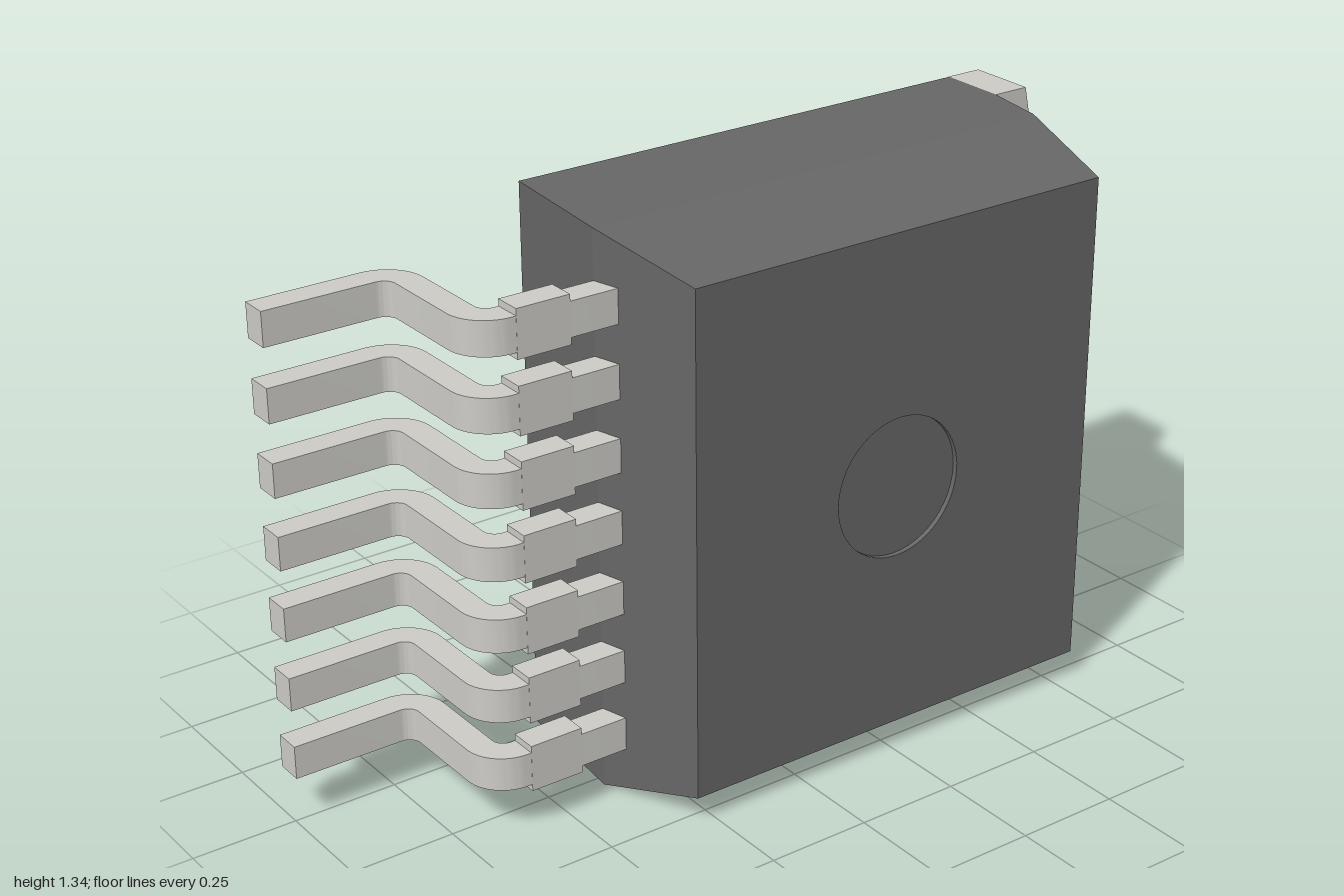
import * as THREE from 'three';
import { toCreasedNormals } from 'three/addons/utils/BufferGeometryUtils.js';

const plastic = new THREE.MeshStandardMaterial({ color: 0x666666 });
const plasticInner = new THREE.MeshStandardMaterial({ color: 0x666666, side: THREE.DoubleSide });
const metal = new THREE.MeshStandardMaterial({ color: 0xcccbc6 });

function part(name, geometry, material, parent) {
  const mesh = new THREE.Mesh(geometry, material);
  mesh.name = name;
  parent.add(mesh);
  return mesh;
}

// Rectangular sections [x0, x1, y0, y1, z] from back to front, joined by flat sides; front left open
function bodyGeometry(sections) {
  const rings = sections.map(([x0, x1, y0, y1, z]) => [[x0, y0, z], [x1, y0, z], [x1, y1, z], [x0, y1, z]]);
  const pos = [];
  const quad = (a, b, c, d) => pos.push(...a, ...b, ...c, ...a, ...c, ...d);
  for (let k = 0; k + 1 < rings.length; k++) {
    const a = rings[k], b = rings[k + 1];
    for (let i = 0; i < 4; i++) {
      const j = (i + 1) % 4;
      quad(a[i], a[j], b[j], b[i]);
    }
  }
  const [p, q, r, s] = rings[0];
  quad(p, s, r, q);
  const g = new THREE.BufferGeometry();
  g.setAttribute('position', new THREE.Float32BufferAttribute(pos, 3));
  g.computeVertexNormals();
  return g;
}

function polygon(points) {
  return new THREE.Shape(points.map(([x, y]) => new THREE.Vector2(x, y)));
}

// Bent strip profile in x and -z, extruded along the height
function leadGeometry(width) {
  const s = new THREE.Shape();
  s.moveTo(-0.35, -0.095);
  s.lineTo(-0.61, -0.095);
  s.absarc(-0.61, 0, 0.095, -Math.PI / 2, -Math.PI, true);
  s.lineTo(-0.705, 0.2);
  s.absarc(-0.735, 0.2, 0.03, 0, Math.PI / 2, false);
  s.lineTo(-1, 0.23);
  s.lineTo(-1, 0.295);
  s.lineTo(-0.735, 0.295);
  s.absarc(-0.735, 0.2, 0.095, Math.PI / 2, 0, true);
  s.lineTo(-0.64, 0);
  s.absarc(-0.61, 0, 0.03, Math.PI, Math.PI * 1.5, false);
  s.lineTo(-0.35, -0.03);
  const g = new THREE.ExtrudeGeometry(s, { depth: width, bevelEnabled: false, curveSegments: 10 });
  g.translate(0, 0, -width / 2);
  g.rotateX(-Math.PI / 2);
  return toCreasedNormals(g, 0.5);
}

export function createModel() {
  const root = new THREE.Group();
  root.name = 'powerPackage';

  // Moulded body with tapered sides
  const body = new THREE.Group();
  body.name = 'body';
  root.add(body);
  part('bodyShell', bodyGeometry([
    [-0.34, 0.865, 0, 1.335, -0.293],
    [-0.355, 0.865, 0, 1.335, -0.13],
    [-0.37, 0.84, 0, 1.335, 0.03],
    [-0.30, 0.80, 0.07, 1.268, 0.293],
  ]), plastic, body);

  // Front face with a shallow round recess
  const cx = 0.247, cy = 0.668, radius = 0.168, depth = 0.012;
  const face = polygon([[-0.30, 0.07], [0.80, 0.07], [0.80, 1.268], [-0.30, 1.268]]);
  face.holes.push(new THREE.Path().absarc(cx, cy, radius, 0, Math.PI * 2, true));
  part('frontFace', new THREE.ShapeGeometry(face, 48), plastic, body).position.z = 0.293;
  part('recessFloor', new THREE.CircleGeometry(radius, 48), plastic, body).position.set(cx, cy, 0.293 - depth);
  const wall = new THREE.CylinderGeometry(radius, radius, depth, 48, 1, true).rotateX(Math.PI / 2);
  part('recessWall', wall, plasticInner, body).position.set(cx, cy, 0.293 - depth / 2);

  // Metal tab: narrower pad on the back, full-height chamfered end
  const tab = polygon([
    [-0.01, 0.134], [0.865, 0.134], [0.865, 0], [0.957, 0], [1, 0.2],
    [1, 1.135], [0.957, 1.335], [0.865, 1.335], [0.865, 1.201], [-0.01, 1.201],
  ]);
  part('heatTab', new THREE.ExtrudeGeometry(tab, { depth: 0.168, bevelEnabled: false }), metal, root)
    .position.z = -0.295;

  // Seven bent leads, each with a wider shoulder
  const lead = leadGeometry(0.08);
  const shoulder = new THREE.BoxGeometry(0.13, 0.112, 0.066);
  for (let i = 0; i < 7; i++) {
    const g = new THREE.Group();
    g.name = `lead${i + 1}`;
    g.position.y = 0.668 + (i - 3) * 0.17;
    part('leadStrip', lead, metal, g);
    part('leadShoulder', shoulder, metal, g).position.set(-0.535, 0, 0.0625);
    root.add(g);
  }
  return root;
}
